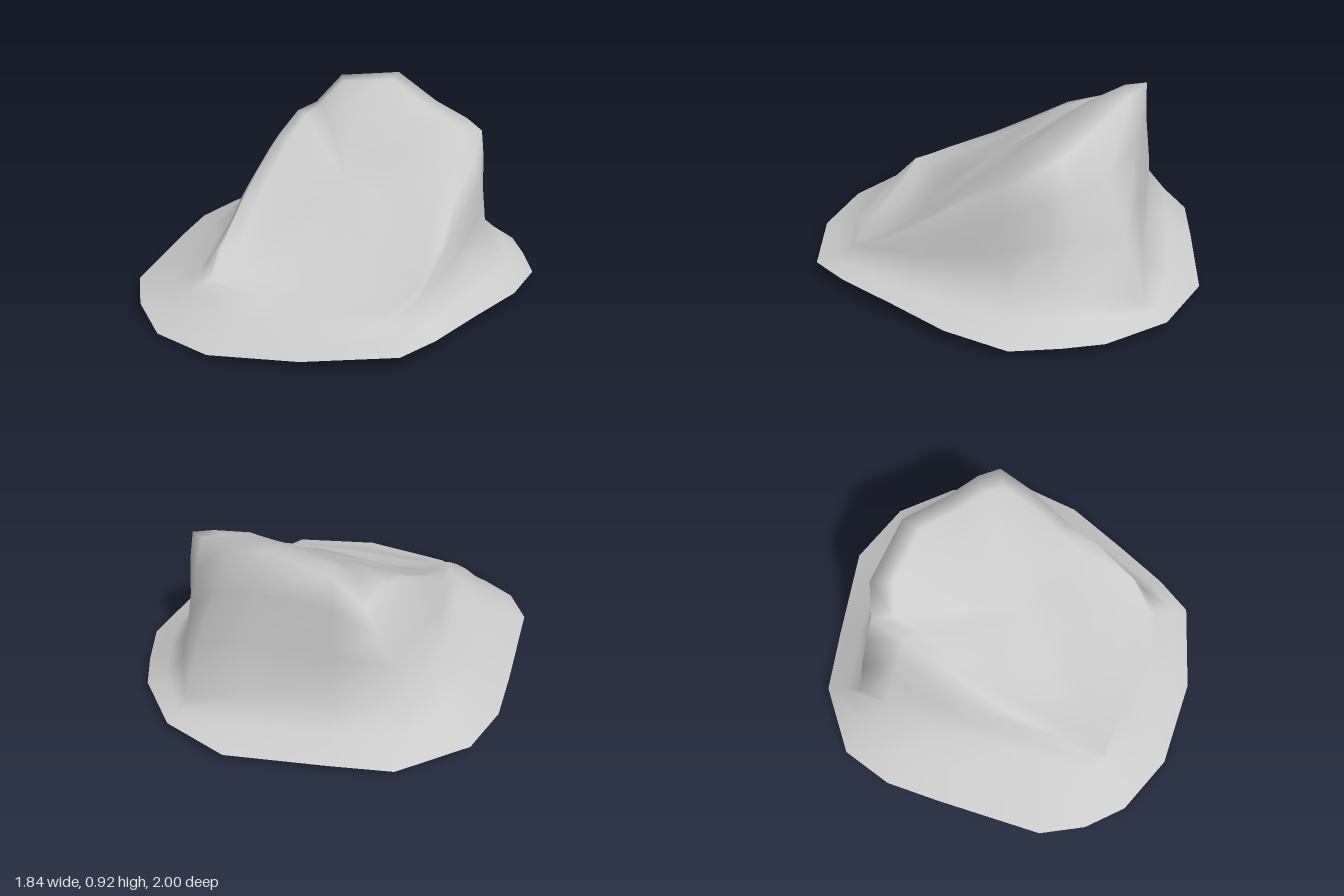
import * as THREE from 'three';

// Cross-section loops (x, y, z), starting at the front and running by +x to the back and round.
const rim = [
  [0.07, 0.01, 1], [0.47, 0.05, 0.86], [0.81, 0.07, 0.61], [0.86, 0.07, 0.4], [0.89, 0.07, 0.1],
  [0.92, 0.06, -0.23], [0.87, 0.04, -0.53], [0.73, 0.04, -0.71], [0.6, 0.04, -0.85], [0.31, 0.04, -1],
  [-0.04, 0.04, -1], [-0.46, 0.04, -0.77], [-0.72, 0.04, -0.62], [-0.92, 0.07, -0.31], [-0.91, 0.07, -0.04],
  [-0.82, 0.07, 0.22], [-0.63, 0.065, 0.72], [-0.46, 0.045, 0.88], [-0.25, 0, 0.98],
];
const foot = [
  [0.1, 0.11, 0.8], [0.43, 0.11, 0.69], [0.7, 0.12, 0.5], [0.74, 0.14, 0.38], [0.74, 0.16, 0.07],
  [0.7, 0.17, -0.18], [0.67, 0.17, -0.4], [0.57, 0.19, -0.58], [0.47, 0.18, -0.72], [0.3, 0.11, -0.88],
  [0.05, 0.15, -0.74], [-0.34, 0.2, -0.58], [-0.65, 0.25, -0.42], [-0.62, 0.26, -0.27], [-0.57, 0.25, -0.04],
  [-0.5, 0.25, 0.16], [-0.37, 0.23, 0.43], [-0.28, 0.19, 0.65], [-0.2, 0.15, 0.82],
];
const crest = [
  [0.1, 0.17, 0.67], [0.38, 0.16, 0.58], [0.62, 0.16, 0.46], [0.71, 0.24, 0.3], [0.69, 0.38, 0.07],
  [0.64, 0.51, -0.11], [0.62, 0.63, -0.32], [0.57, 0.74, -0.48], [0.46, 0.77, -0.53], [0.26, 0.82, -0.56],
  [0, 0.92, -0.61], [-0.32, 0.87, -0.54], [-0.43, 0.72, -0.46], [-0.41, 0.72, -0.27], [-0.38, 0.65, -0.08],
  [-0.35, 0.53, 0.12], [-0.3, 0.41, 0.33], [-0.21, 0.29, 0.58], [-0.13, 0.21, 0.74],
];

const mix = (a, b, t) => a + (b - a) * t;
// Loop between two others: t sets its place across, ty its height
const blend = (A, B, t, ty) =>
  A.map((p, i) => p.map((v, k) => mix(v, B[i][k], k === 1 ? ty : t)));

// Gentle unevenness of the stone
const rough = ([x, y, z]) => [
  x + 0.008 * Math.sin(9 * y + 11 * z),
  y + 0.008 * Math.sin(8 * x + 5 * z),
  z + 0.008 * Math.sin(10 * x + 7 * y),
];

// Sloping top face: shrinks the crest towards its middle and settles it onto a tilted plane
const middle = [0.12, 0.02];
const slabHeight = (x, z) => 0.55 - 0.1 * x - 0.57 * z;
const slabLoop = (t) => crest.map(([x, y, z]) => {
  const px = mix(x, middle[0], t), pz = mix(z, middle[1], t);
  return [px, mix(y, slabHeight(px, pz), Math.min(1, t * 1.6)), pz];
});

function loft(loops) {
  const n = loops[0].length;
  const positions = loops.flat(2);
  const index = [];
  for (let r = 0; r < loops.length - 1; r++) {
    for (let i = 0; i < n; i++) {
      const j = (i + 1) % n;
      const a = r * n + i, b = r * n + j, c = a + n, d = b + n;
      index.push(a, b, d, a, d, c);
    }
  }
  // Close the middle of the top face
  const last = (loops.length - 1) * n;
  positions.push(middle[0], slabHeight(...middle), middle[1]);
  for (let i = 0; i < n; i++) index.push(last + i, last + (i + 1) % n, loops.length * n);
  const geometry = new THREE.BufferGeometry();
  geometry.setAttribute('position', new THREE.Float32BufferAttribute(positions, 3));
  geometry.setIndex(index);
  geometry.computeVertexNormals();
  return geometry;
}

export function createModel() {
  const group = new THREE.Group();
  group.name = 'rock';
  // Open shell: skirt, steep flanks, then the sloping top
  const loops = [
    rim,
    blend(rim, foot, 0.55, 0.48),
    foot,
    blend(foot, crest, 0.35, 0.4).map(rough),
    blend(foot, crest, 0.68, 0.74).map(rough),
    crest,
    slabLoop(0.15),
    slabLoop(0.4).map(rough),
    slabLoop(0.7),
  ];
  const shell = new THREE.Mesh(
    loft(loops),
    new THREE.MeshStandardMaterial({ color: 0xcccccc, side: THREE.DoubleSide }),
  );
  shell.name = 'rockShell';
  group.add(shell);
  return group;
}
